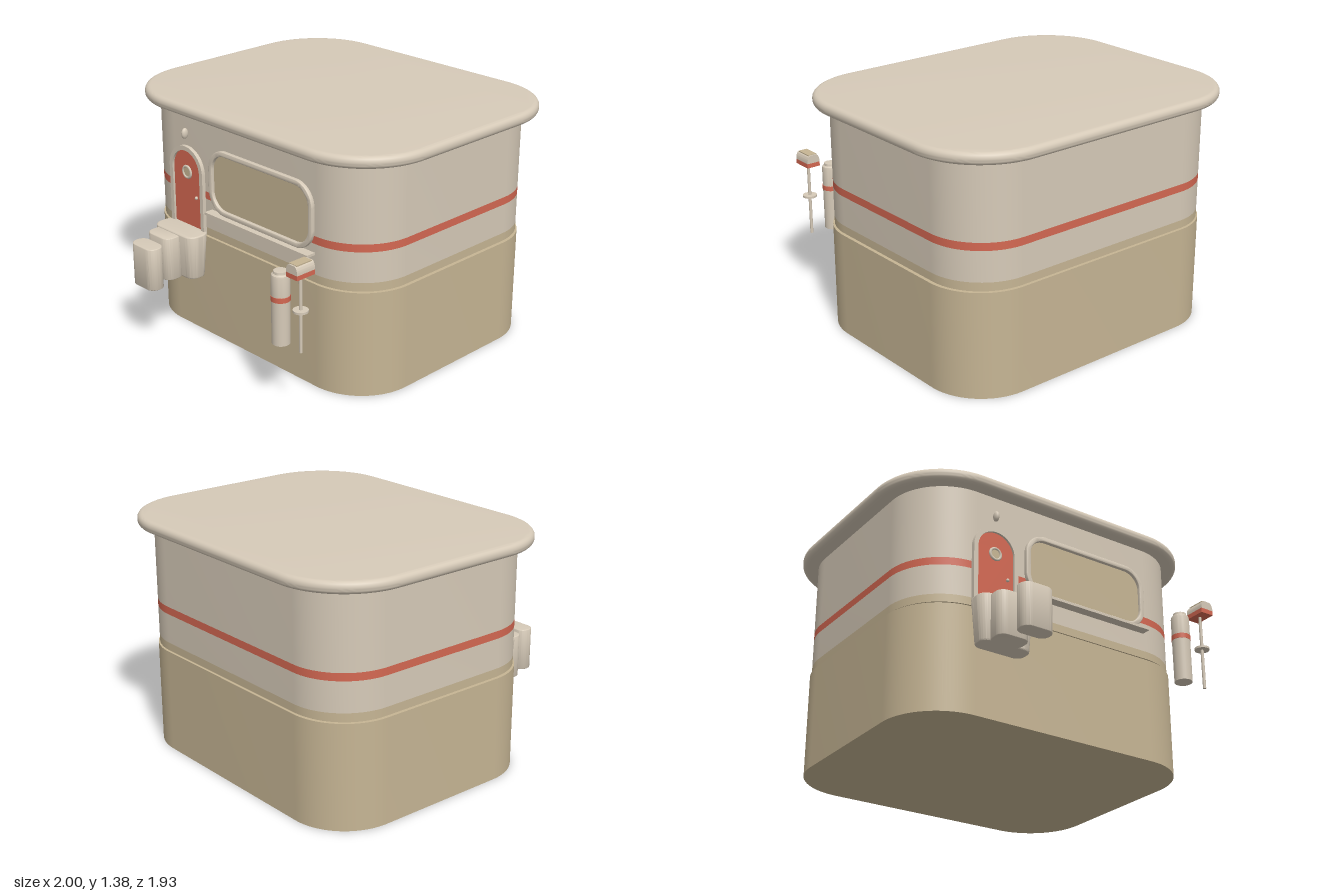
import * as THREE from 'three';
import { toCreasedNormals } from 'three/addons/utils/BufferGeometryUtils.js';

const material = (name, color) => {
  const m = new THREE.MeshStandardMaterial({ color });
  m.name = name;
  return m;
};

// Rounded rectangle outline centred on (cx, cy)
function roundRect(w, h, r, cx = 0, cy = 0, Kind = THREE.Shape) {
  const s = new Kind(), x = w / 2 - r, y = h / 2 - r;
  s.absarc(cx + x, cy + y, r, 0, Math.PI / 2);
  s.absarc(cx - x, cy + y, r, Math.PI / 2, Math.PI);
  s.absarc(cx - x, cy - y, r, Math.PI, Math.PI * 1.5);
  s.absarc(cx + x, cy - y, r, Math.PI * 1.5, Math.PI * 2);
  s.closePath();
  return s;
}

// Doorway outline: straight sides with a round top
function arch(w, bottom, top, cx, Kind = THREE.Shape) {
  const s = new Kind(), r = w / 2;
  s.moveTo(cx - r, bottom);
  s.lineTo(cx + r, bottom);
  s.absarc(cx, top - r, r, 0, Math.PI);
  s.closePath();
  return s;
}

// Extrusion; a bevel is kept inside the given depth but grows the outline
function extrude(shape, depth, bevel = 0) {
  const g = new THREE.ExtrudeGeometry(shape, {
    depth: depth - 2 * bevel, curveSegments: 14, bevelEnabled: bevel > 0,
    bevelThickness: bevel, bevelSize: bevel, bevelSegments: 5,
  });
  g.translate(0, 0, bevel);
  return toCreasedNormals(g, 0.6);
}

export function createModel() {
  const model = new THREE.Group();
  model.name = 'roundedCabin';
  const cream = material('cream', 0xd6cab8);
  const tan = material('tan', 0xc6b594);
  const red = material('coralRed', 0xd46852);

  const add = (name, geometry, mat, x = 0, y = 0, z = 0, parent = model) => {
    const mesh = new THREE.Mesh(geometry, mat);
    mesh.name = name;
    mesh.position.set(x, y, z);
    parent.add(mesh);
    return mesh;
  };
  // Rounded slab lying flat between two heights
  const slab = (name, w, d, r, y0, y1, mat, x, z, bevel = 0, parent = model) => {
    const g = extrude(roundRect(w - 2 * bevel, d - 2 * bevel, r - bevel), y1 - y0, bevel);
    g.rotateX(-Math.PI / 2);
    return add(name, g, mat, x, y0, z, parent);
  };

  // Body: base, seam and stacked wall bands
  const cz = -0.15, front = 0.58;
  slab('base', 1.83, 1.47, 0.34, 0, 0.606, tan, 0, cz);
  slab('seam', 1.79, 1.43, 0.32, 0.606, 0.614, tan, 0, cz);
  [
    ['wallFoot', 0.614, 0.66, tan],
    ['lowerWall', 0.66, 0.833, cream],
    ['redStripe', 0.833, 0.877, red],
    ['upperWall', 0.877, 1.318, cream],
  ].forEach(([name, y0, y1, mat]) => slab(name, 1.81, 1.46, 0.335, y0, y1, mat, 0, cz));
  slab('roof', 2, 1.635, 0.43, 1.312, 1.38, cream, 0, -0.153, 0.03);

  // Window with raised frame and sill
  const win = new THREE.Group();
  win.name = 'window';
  model.add(win);
  const frame = roundRect(0.81, 0.37, 0.125, 0.15, 0.97);
  frame.holes.push(roundRect(0.772, 0.332, 0.105, 0.15, 0.97, THREE.Path));
  add('windowFrame', extrude(frame, 0.026, 0.005), cream, 0, 0, front - 0.003, win);
  add('windowPane', extrude(roundRect(0.78, 0.34, 0.11, 0.15, 0.97), 0.005), tan, 0, 0, front - 0.001, win);
  add('windowSill', new THREE.BoxGeometry(0.82, 0.014, 0.06), cream, 0.15, 0.776, front + 0.027, win);

  // Door with arch frame, porthole, knob and lamp
  const door = new THREE.Group();
  door.name = 'door';
  model.add(door);
  const dx = -0.457;
  const doorFrame = arch(0.285, 0.615, 1.112, dx);
  doorFrame.holes.push(arch(0.232, 0.615, 1.086, dx, THREE.Path));
  add('doorFrame', extrude(doorFrame, 0.024), cream, 0, 0, front - 0.002, door);
  add('doorPanel', extrude(arch(0.236, 0.615, 1.088, dx), 0.009), red, 0, 0, front, door);
  add('portholeRing', new THREE.TorusGeometry(0.033, 0.008, 8, 28), cream, dx, 0.957, front + 0.011, door);
  const glass = add('portholeGlass', new THREE.CylinderGeometry(0.03, 0.03, 0.006, 28), tan, dx, 0.957, front + 0.01, door);
  glass.rotation.x = Math.PI / 2;
  add('doorKnob', new THREE.SphereGeometry(0.01, 12, 8), cream, -0.38, 0.82, front + 0.014, door);
  const lamp = add('doorLamp', new THREE.SphereGeometry(1, 16, 12), cream, dx, 1.187, front + 0.018, door);
  lamp.scale.set(0.015, 0.031, 0.022);

  // Stepping blocks; the landing tapers towards its foot
  const steps = new THREE.Group();
  steps.name = 'steps';
  model.add(steps);
  const landing = slab('landing', 0.34, 0.15, 0.06, 0.37, 0.635, cream, -0.455, 0.65, 0.01, steps);
  const pos = landing.geometry.attributes.position;
  for (let i = 0; i < pos.count; i++) {
    if (pos.getY(i) < 0.13) {
      pos.setX(i, pos.getX(i) * 0.9);
      pos.setZ(i, pos.getZ(i) * 0.8);
    }
  }
  landing.geometry = toCreasedNormals(landing.geometry, 0.6);
  slab('middleStep', 0.19, 0.125, 0.05, 0.37, 0.626, cream, -0.48, 0.752, 0.006, steps);
  slab('lowerStep', 0.192, 0.106, 0.05, 0.37, 0.62, cream, -0.434, 0.911, 0.006, steps);

  // Canister with a red band and domed cap
  const can = new THREE.Group();
  can.name = 'canister';
  can.position.set(0.594, 0, 0.855);
  model.add(can);
  const cap = [[0.05, 0.648], [0.05, 0.752], [0.047, 0.765], [0.038, 0.772], [0.036, 0.785], [0, 0.788]]
    .map(([r, y]) => new THREE.Vector2(r, y));
  add('canisterBody', new THREE.CylinderGeometry(0.05, 0.049, 0.247, 28), cream, 0, 0.4985, 0, can);
  add('canisterBand', new THREE.CylinderGeometry(0.052, 0.052, 0.028, 28), red, 0, 0.635, 0, can);
  add('canisterCap', toCreasedNormals(new THREE.LatheGeometry(cap, 28), 0.6), cream, 0, 0, 0, can);

  // Post with a collar and a round-topped box
  const post = new THREE.Group();
  post.name = 'postBox';
  post.position.set(0.744, 0, 0.857);
  model.add(post);
  add('pole', new THREE.CylinderGeometry(0.009, 0.009, 0.44, 14), cream, 0, 0.595, 0, post);
  add('collar', new THREE.CylinderGeometry(0.041, 0.041, 0.012, 24), cream, 0, 0.612, 0, post);
  add('boxBase', new THREE.BoxGeometry(0.082, 0.026, 0.122), red, 0, 0.821, 0, post);
  const hood = new THREE.Shape();
  hood.moveTo(-0.041, 0.834);
  hood.lineTo(0.041, 0.834);
  hood.bezierCurveTo(0.041, 0.865, 0.03, 0.881, 0.017, 0.881);
  hood.lineTo(-0.017, 0.881);
  hood.bezierCurveTo(-0.03, 0.881, -0.041, 0.865, -0.041, 0.834);
  add('boxHood', extrude(hood, 0.122), cream, 0, 0, -0.061, post);
  add('boxLid', new THREE.BoxGeometry(0.054, 0.008, 0.104), tan, 0, 0.88, 0, post);

  return model;
}
